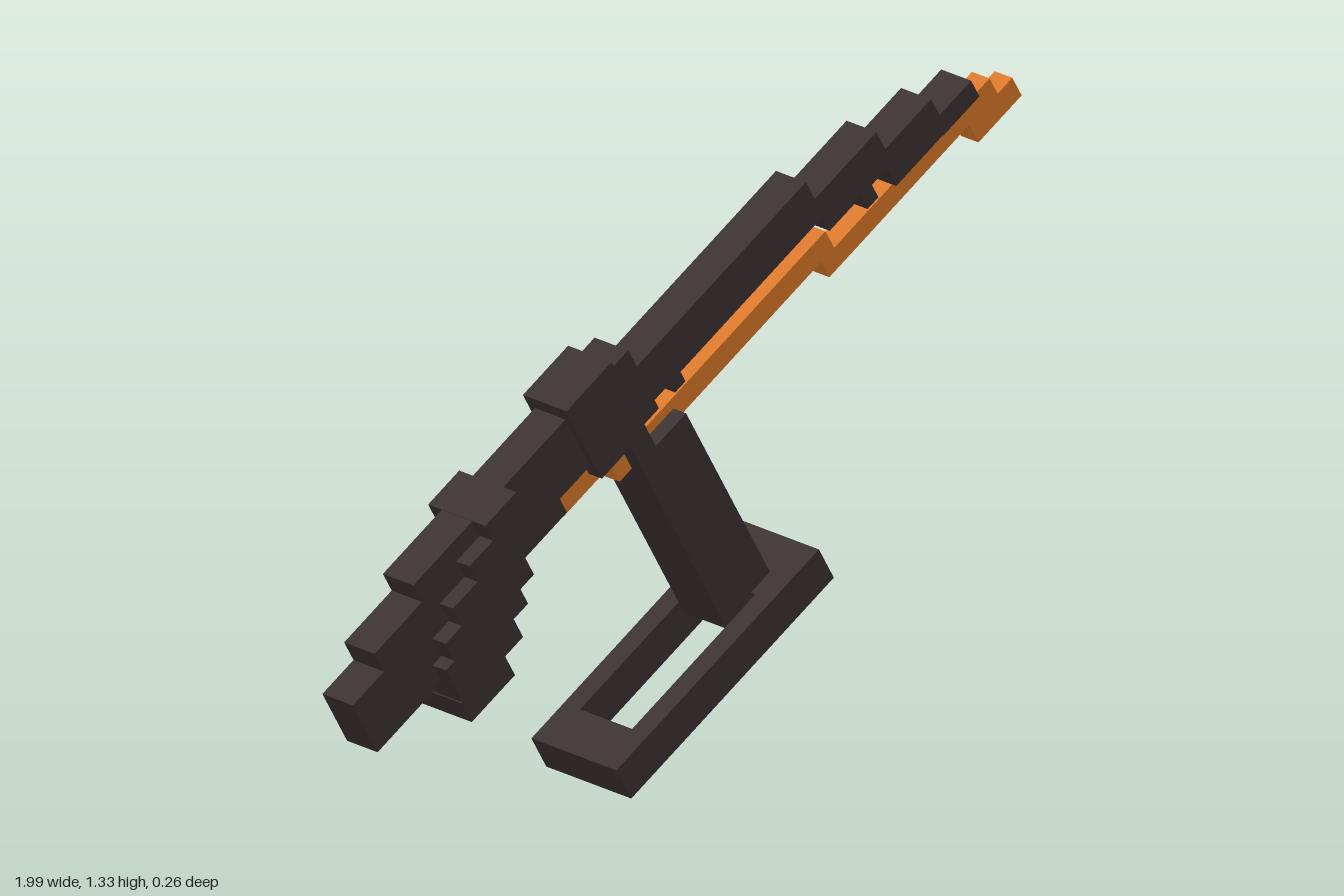
import * as THREE from 'three';

export function createModel() {
  const model = new THREE.Group();
  model.name = 'model';
  const dark = new THREE.MeshStandardMaterial({ color: 0x3a3030 });
  dark.name = 'dark metal';
  const orange = new THREE.MeshStandardMaterial({ color: 0xd87628 });
  orange.name = 'orange';

  // Everything is laid out square, then tilted 30 degrees
  const tilted = new THREE.Group();
  tilted.name = 'tiltedAssembly';
  tilted.rotation.z = Math.PI / 6;
  model.add(tilted);

  // Adds one named part made of blocks [x0, x1, y0, y1], all with half depth d
  function part(name, mat, d, blocks) {
    const group = new THREE.Group();
    group.name = name;
    for (const [x0, x1, y0, y1] of blocks) {
      const mesh = new THREE.Mesh(new THREE.BoxGeometry(x1 - x0, y1 - y0, d * 2), mat);
      mesh.position.set((x0 + x1) / 2, (y0 + y1) / 2, 0);
      mesh.name = name + 'Block';
      group.add(mesh);
    }
    tilted.add(group);
  }

  // Stepped stock and body
  part('stock', dark, 0.047, [
    [-0.668, -0.35, 0.692, 0.838],
    [-0.562, -0.25, 0.74, 0.893],
    [-0.4, 0.015, 0.758, 0.945],
    [0.015, 0.2, 0.8, 0.945],
  ]);

  // Slanted rear grip, a staircase of wide slabs
  part('grip', dark, 0.088, [
    [-0.453, -0.306, 0.587, 0.645],
    [-0.45, -0.245, 0.645, 0.7],
    [-0.45, -0.196, 0.7, 0.745],
    [-0.42, -0.15, 0.745, 0.798],
    [-0.364, -0.096, 0.798, 0.852],
    [-0.28, -0.095, 0.852, 0.9],
    [-0.2, -0.094, 0.9, 0.946],
  ]);

  // Receiver hump and the sleeve in front of it
  part('receiver', dark, 0.067, [[0.118, 0.272, 0.768, 0.978]]);
  part('sleeve', dark, 0.052, [[0.2, 0.33, 0.77, 0.951]]);

  // Barrel stepping down towards the muzzle
  part('barrel', dark, 0.046, [
    [0.3, 0.909, 0.79, 0.895],
    [0.905, 1.119, 0.747, 0.842],
    [1.1, 1.274, 0.692, 0.789],
    [1.26, 1.382, 0.69, 0.739],
  ]);

  // Thin struts between barrel and rod
  part('strut', dark, 0.022, [
    [0.4, 0.435, 0.73, 0.8],
    [1.025, 1.062, 0.68, 0.76],
  ]);

  // Orange rod under the barrel
  part('rod', orange, 0.027, [
    [0.015, 0.225, 0.738, 0.802],
    [0.175, 0.906, 0.686, 0.738],
    [0.862, 1.435, 0.638, 0.686],
    [1.338, 1.485, 0.583, 0.638],
  ]);

  // Front leg
  part('leg', dark, 0.066, [[0.217, 0.375, 0.2, 0.715], [0.217, 0.272, 0.7, 0.79]]);

  // Base frame with a rectangular opening
  const rect = (path, x0, x1, d) => path.moveTo(x0, -d).lineTo(x1, -d).lineTo(x1, d).lineTo(x0, d).closePath();
  const outline = new THREE.Shape();
  rect(outline, -0.22, 0.47, 0.131);
  const hole = new THREE.Path();
  rect(hole, -0.11, 0.31, 0.08);
  outline.holes.push(hole);
  const geo = new THREE.ExtrudeGeometry(outline, { depth: 0.088, bevelEnabled: false });
  geo.rotateX(-Math.PI / 2);
  const base = new THREE.Mesh(geo, dark);
  base.position.y = 0.132;
  base.name = 'baseFrame';
  tilted.add(base);

  return model;
}
